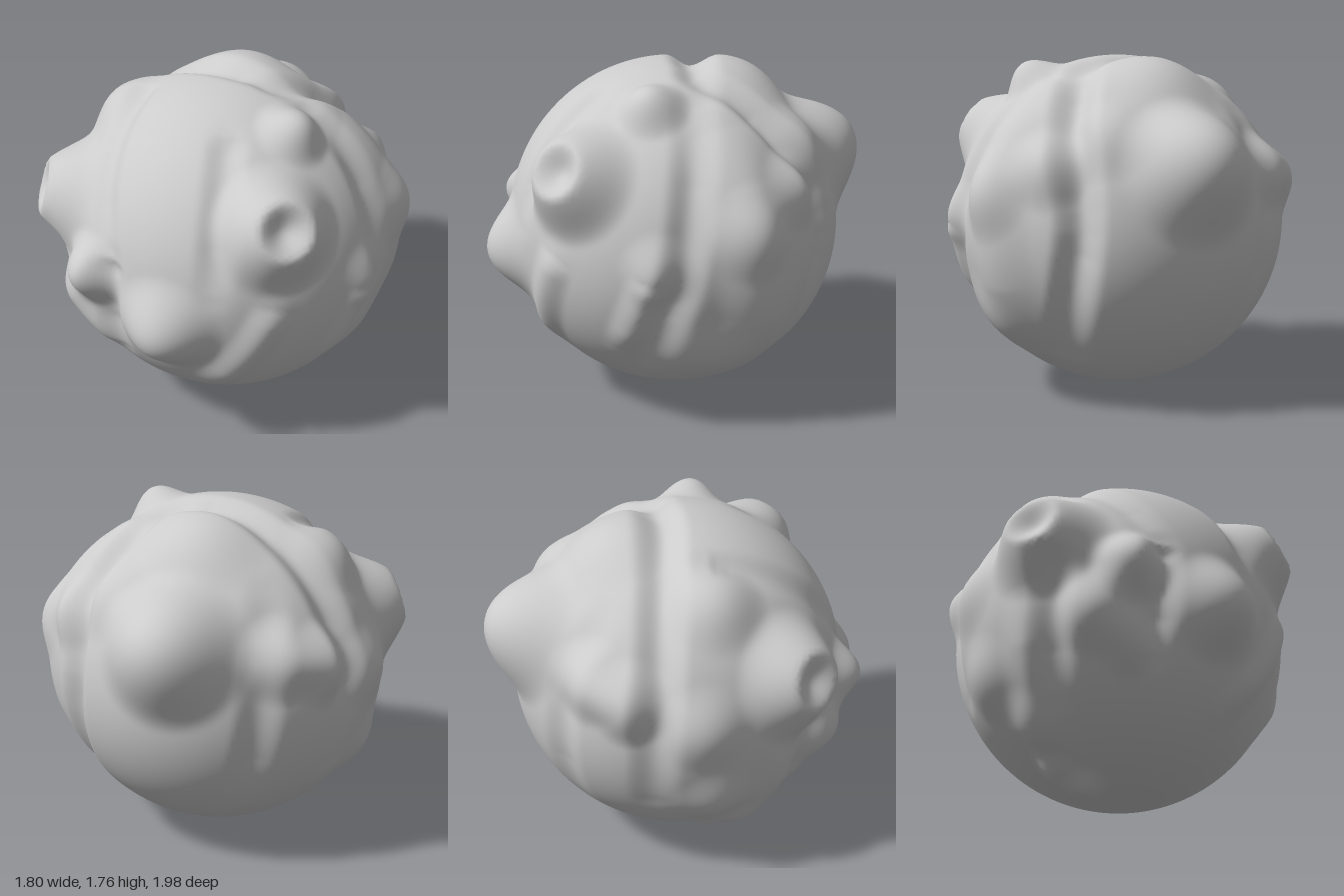
import * as THREE from 'three';
import { mergeVertices } from 'three/addons/utils/BufferGeometryUtils.js';

const CENTRE = new THREE.Vector3(0, 0.915, 0);
const RADIUS = 0.865;
const dirOf = ([x, y, z]) => new THREE.Vector3(x, y, z).sub(CENTRE).normalize();
const bump = t => (t >= 1 ? 0 : 0.5 + 0.5 * Math.cos(Math.PI * t));

// Mountains: position, height, angular radius
const peaks = [
  [[-0.17, 1.34, -0.97], 0.215, 0.48], // tall back mountain
  [[-0.1, 1.72, -0.38], 0.05, 0.42], // high ground behind the top valley
  [[0.14, 0.8, 0.98], 0.135, 0.36], // front nose
  [[-0.38, 0.98, 0.92], 0.115, 0.26],
  [[-0.52, 0.72, 0.75], 0.07, 0.28],
  [[-0.36, 0.55, 0.82], 0.04, 0.22],
  [[0.49, 1.74, 0.15], 0.1, 0.24], // upper left knob
  [[0.87, 1.14, -0.38], 0.055, 0.3],
  [[0.6, 1.3, -0.62], 0.06, 0.28],
  [[0.91, 0.96, 0.12], 0.045, 0.25],
  [[0.32, 1.5, -0.75], 0.04, 0.3],
  [[-0.9, 1.03, 0.02], 0.045, 0.3],
  [[-0.85, 1.18, -0.38], 0.08, 0.28],
  [[-0.69, 1.25, -0.6], 0.075, 0.28],
  [[-0.6, 1.6, 0.12], 0.06, 0.32],
  [[-0.82, 0.52, 0.1], 0.04, 0.3],
  [[-0.6, 0.3, 0.2], 0.03, 0.25],
  [[-0.27, 0.02, 0.12], 0.07, 0.17], // spur underneath
  [[-0.42, 0.08, 0.12], 0.045, 0.18],
  [[0.74, 0.42, -0.15], 0.03, 0.35],
].map(([p, h, r]) => ({ dir: dirOf(p), h, r }));

// Volcanoes: broad cone with a bowl in the summit (bowl depth last)
const craters = [
  [[0.66, 1.42, 0.6], 0.21, 0.4, 0.07],
  [[-0.77, 1.21, 0.57], 0.2, 0.42, 0.06],
].map(([p, h, r, bowl]) => ({ dir: dirOf(p), h, r, bowl }));

// Ridges (positive height) and valleys (negative): height, width, path
const folds = [
  [-0.06, 0.17, [[-0.75, 0.6, -0.22], [-0.76, 1.4, -0.2], [-0.1, 1.78, -0.1], [0.35, 1.7, -0.12]]],
  [-0.075, 0.17, [[0.2, 1.72, -0.1], [0.38, 1.5, -0.45], [0.44, 1, -0.72], [0.42, 0.35, -0.48]]],
  [0.05, 0.3, [[0.55, 1.6, -0.22], [0.78, 1, -0.38], [0.55, 0.35, -0.3]]],
  [-0.045, 0.16, [[0.45, 1.65, -0.08], [0.85, 1, 0], [0.7, 0.45, 0.15]]],
  [0.03, 0.15, [[0.85, 0.9, 0.16], [0.72, 0.48, 0.3]]],
  [-0.03, 0.14, [[0.2, 1.65, 0.35], [0.36, 1.05, 0.77]]],
  [-0.03, 0.14, [[-0.38, 1.65, 0.1], [-0.19, 1.1, 0.83]]],
  [-0.05, 0.14, [[-0.19, 1.1, 0.83], [-0.2, 0.55, 0.75]]],
  [0.035, 0.16, [[0.6, 0.95, 0.6], [0.25, 0.38, 0.63]]],
  [-0.035, 0.16, [[-0.62, 1.05, 0.58], [-0.55, 0.4, 0.42]]],
  [0.035, 0.22, [[-0.72, 0.9, 0.45], [-0.6, 0.4, 0.34], [-0.35, 0.1, 0.12]]],
  [-0.03, 0.16, [[-0.5, 1.5, -0.45], [-0.56, 0.95, -0.65], [-0.45, 0.45, -0.58]]],
].map(([h, w, path]) => {
  const curve = new THREE.CatmullRomCurve3(path.map(dirOf));
  const pts = curve.getPoints(16).map(p => p.normalize());
  return { h, w, lines: pts.slice(1).map((p, i) => new THREE.Line3(pts[i], p)) };
});

// Surface height above the base sphere in a given direction
const near = new THREE.Vector3();
function relief(d) {
  let h = 0;
  for (const p of peaks) h += p.h * bump(d.angleTo(p.dir) / p.r);
  for (const { h: height, w, lines } of folds) {
    let best = 9, at = 0;
    lines.forEach((line, i) => {
      const t = line.closestPointToPointParameter(d, true);
      const dist = line.at(t, near).distanceTo(d);
      if (dist < best) { best = dist; at = (i + t) / lines.length; }
    });
    h += height * bump(best / w) * Math.min(1, 0.25 + 3 * Math.min(at, 1 - at));
  }
  for (const c of craters) {
    const a = d.angleTo(c.dir);
    h += c.h * Math.min(bump(a / c.r), 0.74) - c.bowl * bump(a / 0.15);
  }
  return h;
}

export function createModel() {
  const group = new THREE.Group();
  group.name = 'rockyPlanet';

  // Displaced sphere with shared vertices for smooth shading
  let geo = new THREE.IcosahedronGeometry(1, 44);
  geo.deleteAttribute('uv');
  geo.deleteAttribute('normal');
  geo = mergeVertices(geo, 1e-5);
  const pos = geo.attributes.position;
  const v = new THREE.Vector3();
  for (let i = 0; i < pos.count; i++) {
    v.fromBufferAttribute(pos, i).normalize();
    v.multiplyScalar(RADIUS + relief(v)).add(CENTRE);
    pos.setXYZ(i, v.x, v.y, v.z);
  }
  geo.computeVertexNormals();

  const planet = new THREE.Mesh(geo, new THREE.MeshStandardMaterial({ color: 0xcccccc }));
  planet.name = 'planetSurface';
  group.add(planet);
  return group;
}
